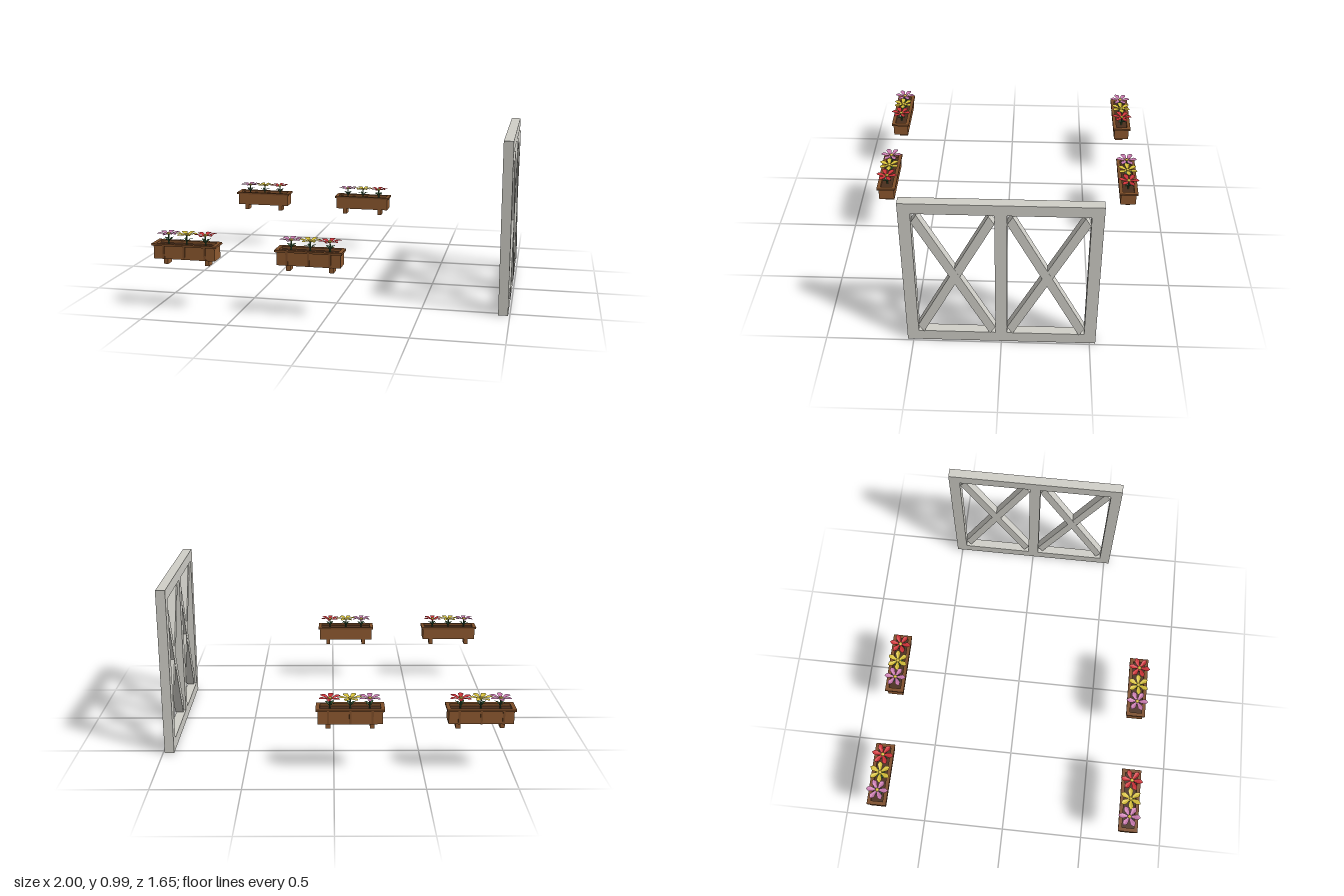
import * as THREE from 'three';

const mat = (color, side = THREE.FrontSide) =>
  new THREE.MeshStandardMaterial({ color, side, flatShading: true });
const WOOD = mat(0x8f5a30), RIM = mat(0x7d4d28), SOIL = mat(0x4a2e1c);
const FRAME = mat(0xd0cfc8);
const STEM = mat(0x2f5a35), LEAF = mat(0x2f5a35, THREE.DoubleSide);
const PISTIL = mat(0xd8c040);
const PETALS = [0xcb7bb0, 0xd9c23a, 0xcf3238].map(c => mat(c, THREE.DoubleSide));

function add(parent, name, geometry, material, x = 0, y = 0, z = 0) {
  const m = new THREE.Mesh(geometry, material);
  m.name = name;
  m.position.set(x, y, z);
  parent.add(m);
  return m;
}
const box = (parent, name, material, w, h, d, x, y, z) =>
  add(parent, name, new THREE.BoxGeometry(w, h, d), material, x, y, z);

// Pointed blade along +x, folded along its middle; rows are [distance, half width, height]
function blade(rows) {
  const pos = [], index = [];
  rows.forEach(([r, w, h], i) => {
    pos.push(r, h + w * 0.25, -w, r, h, 0, r, h + w * 0.25, w);
    if (i === 0) return;
    for (let k = 0; k < 2; k++) {
      const a = (i - 1) * 3 + k, b = i * 3 + k;
      index.push(a, a + 1, b, a + 1, b + 1, b);
    }
  });
  const g = new THREE.BufferGeometry();
  g.setAttribute('position', new THREE.Float32BufferAttribute(pos, 3));
  g.setIndex(index);
  g.computeVertexNormals();
  return g;
}
const petalGeo = blade([[0.004, 0.004, 0], [0.026, 0.011, 0.003], [0.045, 0.016, 0.007], [0.056, 0.011, 0.008], [0.066, 0.001, 0.008]]);
const leafGeo = blade([[0.002, 0.003, 0], [0.018, 0.009, 0.016], [0.036, 0.001, 0.02]]);

// Six-petalled flower with stem and leaves, standing on the soil
function makeFlower(material, turn) {
  const f = new THREE.Group();
  f.name = 'flower';
  add(f, 'stem', new THREE.CylinderGeometry(0.004, 0.005, 0.06, 6), STEM, 0, 0.03, 0);
  for (let i = 0; i < 6; i++) {
    add(f, 'petal', petalGeo, material, 0, 0.06, 0).rotation.y = turn + i * Math.PI / 3;
  }
  for (let i = 0; i < 4; i++) {
    add(f, 'leaf', leafGeo, LEAF, 0, 0.018, 0).rotation.y = 0.5 + turn + i * Math.PI / 2;
  }
  const p = add(f, 'flowerCentre', new THREE.SphereGeometry(0.012, 8, 6), PISTIL, 0, 0.064, 0);
  p.scale.y = 0.6;
  return f;
}

// Window box; out is +1 or -1, the z direction of its battened outer face
function makePlanter(out) {
  const g = new THREE.Group();
  g.name = 'planter';
  // trough walls and floor
  box(g, 'floor', WOOD, 0.36, 0.012, 0.096, 0, 0.304, 0);
  for (const s of [-1, 1]) {
    box(g, 'longWall', WOOD, 0.36, 0.078, 0.012, 0, 0.337, s * 0.042);
    box(g, 'endWall', WOOD, 0.012, 0.078, 0.072, s * 0.174, 0.337, 0);
    // rim
    box(g, 'longRim', RIM, 0.38, 0.012, 0.022, 0, 0.38, s * 0.047);
    box(g, 'endRim', RIM, 0.022, 0.012, 0.072, s * 0.179, 0.38, 0);
    // feet, set toward the inner side
    box(g, 'foot', WOOD, 0.026, 0.04, 0.054, s * 0.123, 0.28, -out * 0.01);
  }
  box(g, 'soil', SOIL, 0.338, 0.06, 0.074, 0, 0.342, 0);
  // battens on the outer face
  for (const x of [-0.122, 0, 0.122]) {
    box(g, 'batten', RIM, 0.012, 0.076, 0.006, x, 0.337, out * 0.051);
  }
  // flowers
  [-0.108, 0, 0.112].forEach((x, i) => {
    const f = makeFlower(PETALS[i], [0.5, 0.08, 0.42][i]);
    f.position.set(x, 0.371, 0);
    g.add(f);
  });
  return g;
}

// Framed panel with two crossed bays, facing +x
function makePanel() {
  const g = new THREE.Group();
  g.name = 'bracedPanel';
  const x = 0.9625, d = 0.055;
  for (const s of [-1, 1]) {
    box(g, 'sidePost', FRAME, d, 0.985, 0.066, x, 0.4925, s * 0.501);
  }
  box(g, 'bottomRail', FRAME, d, 0.068, 0.936, x, 0.034, 0);
  box(g, 'topRail', FRAME, d, 0.066, 0.936, x, 0.952, 0);
  box(g, 'middlePost', FRAME, d, 0.851, 0.066, x, 0.4935, 0);

  // diagonal braces with slanted ends
  for (const bay of [-0.25, 0.25]) for (const s of [-1, 1]) {
    const pts = [[-0.217, 0.374], [-0.187, 0.425], [0.217, -0.374], [0.187, -0.425]];
    const shape = new THREE.Shape(pts.map(([u, v]) => new THREE.Vector2(s * u, v)));
    const geo = new THREE.ExtrudeGeometry(shape, { depth: 0.05, bevelEnabled: false });
    const b = add(g, 'brace', geo, FRAME, s > 0 ? 0.948 : 0.947, 0.493, bay);
    b.rotation.y = Math.PI / 2;
  }
  return g;
}

export function createModel() {
  const model = new THREE.Group();
  model.name = 'plantersAndPanel';
  model.add(makePanel());
  for (const x of [-0.81, -0.09]) for (const out of [-1, 1]) {
    const p = makePlanter(out);
    p.position.set(x, 0, out * 0.758);
    model.add(p);
  }
  return model;
}
